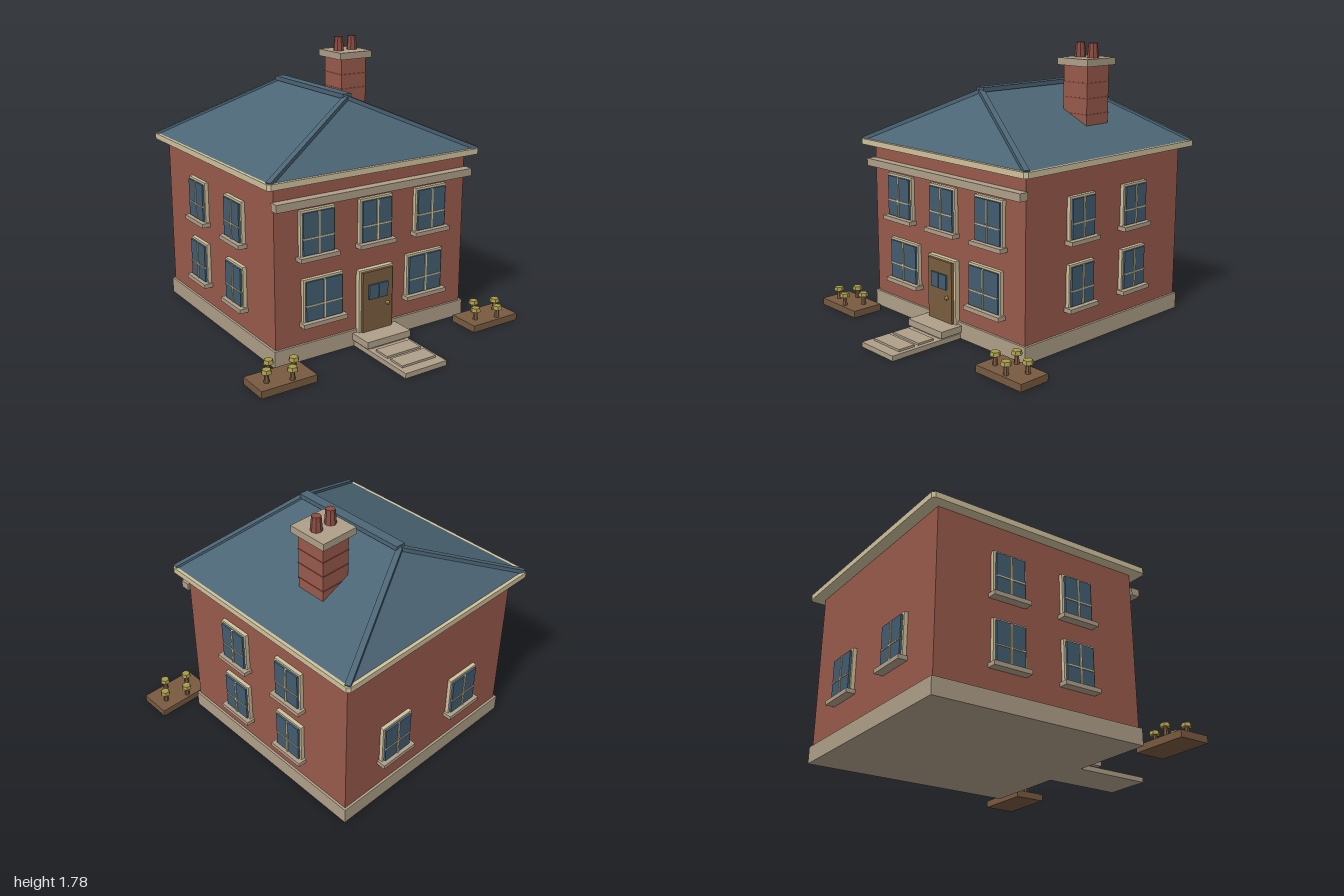
import * as THREE from 'three';

const mat = (name, color) => {
  const m = new THREE.MeshStandardMaterial({ color, flatShading: true });
  m.name = name;
  return m;
};

export function createModel() {
  const brick = mat('brick', 0x995a4c);
  const stone = mat('stone', 0xae9f88);
  const cream = mat('cream', 0xcfc19c);
  const slate = mat('slate', 0x4c6575);
  const glass = mat('glass', 0x425d70);
  const wood = mat('wood', 0x785c3e);
  const soil = mat('soil', 0x785a40);
  const brass = mat('brass', 0xa89a4c);
  const clay = mat('clay', 0x8c4c42);

  const house = new THREE.Group();
  house.name = 'house';

  const add = (parent, name, geometry, material, x = 0, y = 0, z = 0) => {
    const m = new THREE.Mesh(geometry, material);
    m.name = name;
    m.position.set(x, y, z);
    parent.add(m);
    return m;
  };
  // Box given by its limits on each axis
  const box = (parent, name, material, x0, x1, y0, y1, z0, z1) =>
    add(parent, name, new THREE.BoxGeometry(x1 - x0, y1 - y0, z1 - z0), material,
      (x0 + x1) / 2, (y0 + y1) / 2, (z0 + z1) / 2);

  // Walls, base and string course
  box(house, 'plinth', stone, -0.715, 0.715, 0, 0.105, -0.94, 0.48);
  box(house, 'walls', brick, -0.7, 0.7, 0.105, 1.11, -0.925, 0.465);
  box(house, 'stringCourse', stone, -0.715, 0.715, 0.967, 1.015, 0.465, 0.525);

  // Eaves slab with clipped corners
  const ex = 0.77, zf = 0.535, zb = -1, c = 0.018;
  const eave = new THREE.Shape([
    [-ex + c, -zf], [ex - c, -zf], [ex, -zf + c], [ex, -zb - c],
    [ex - c, -zb], [-ex + c, -zb], [-ex, -zb - c], [-ex, -zf + c],
  ].map(([x, y]) => new THREE.Vector2(x, y)));
  const eaveGeo = new THREE.ExtrudeGeometry(eave, { depth: 0.037, bevelEnabled: false });
  eaveGeo.rotateX(-Math.PI / 2);
  add(house, 'eaves', eaveGeo, cream, 0, 1.105, 0);

  // Hipped roof
  const A = [-0.755, 1.14, 0.515], B = [0.755, 1.14, 0.515];
  const C = [0.755, 1.14, -0.98], D = [-0.755, 1.14, -0.98];
  const E = [0, 1.49, 0.165], F = [0, 1.49, -0.63];
  const roofGeo = new THREE.BufferGeometry();
  roofGeo.setAttribute('position', new THREE.Float32BufferAttribute(
    [A, B, E, B, C, F, B, F, E, C, D, F, D, A, E, D, E, F].flat(), 3));
  roofGeo.computeVertexNormals();
  add(house, 'roof', roofGeo, slate);
  box(house, 'ridgeCap', slate, -0.032, 0.032, 1.483, 1.512, -0.635, 0.172);
  for (const [from, to] of [[A, E], [B, E], [C, F], [D, F]]) {
    const p = new THREE.Vector3(...from), q = new THREE.Vector3(...to);
    const hip = add(house, 'hipCap', new THREE.BoxGeometry(0.034, 0.024, p.distanceTo(q)), slate);
    hip.position.lerpVectors(p, q, 0.5);
    hip.lookAt(q);
  }

  // Chimney with projecting courses, cap and pots
  const chimney = new THREE.Group();
  chimney.name = 'chimney';
  chimney.position.set(0.368, 0, -0.39);
  house.add(chimney);
  box(chimney, 'stack', brick, -0.098, 0.098, 1.27, 1.64, -0.1, 0.1);
  for (const y of [1.34, 1.44, 1.535])
    box(chimney, 'course', clay, -0.101, 0.101, y - 0.004, y + 0.004, -0.103, 0.103);
  box(chimney, 'chimneyCap', stone, -0.125, 0.125, 1.64, 1.685, -0.131, 0.131);
  for (const x of [-0.053, 0.053])
    add(chimney, 'pot', new THREE.CylinderGeometry(0.028, 0.036, 0.092, 8), clay, x, 1.731, 0);

  // Windows: local z points out of the wall, y is the bottom of the frame
  const addWindow = (x, y, z, turn, w, h) => {
    const g = new THREE.Group();
    g.name = 'window';
    g.position.set(x, y, z);
    g.rotation.y = turn;
    house.add(g);
    const a = w / 2, i = 0.014;
    box(g, 'windowFrame', cream, -a, a, 0, h, 0, 0.024);
    box(g, 'pane', glass, -a + i, a - i, 0.008, h - i, 0.02, 0.037);
    box(g, 'mullion', cream, -0.006, 0.006, 0.008, h - i, 0.03, 0.043);
    box(g, 'glazingBar', cream, -a + i, a - i, h * 0.395 - 0.004, h * 0.395 + 0.004, 0.03, 0.042);
    box(g, 'sill', stone, -a - 0.015, a + 0.015, -0.025, 0.002, 0, 0.058);
  };
  for (const x of [-0.418, 0, 0.418]) addWindow(x, 0.66, 0.465, 0, 0.24, 0.28);
  for (const s of [-1, 1]) {
    addWindow(s * 0.381, 0.245, 0.465, 0, 0.28, 0.27);
    addWindow(s * 0.3, 0.308, -0.925, Math.PI, 0.24, 0.265);
    for (const z of [0.017, -0.463])
      for (const y of [0.258, 0.67]) addWindow(s * 0.7, y, z, s * Math.PI / 2, 0.22, 0.264);
  }

  // Front door
  const door = new THREE.Group();
  door.name = 'frontDoor';
  door.position.z = 0.465;
  house.add(door);
  box(door, 'doorFrame', cream, -0.128, 0.128, 0.085, 0.49, 0, 0.032);
  box(door, 'doorLeaf', wood, -0.111, 0.111, 0.088, 0.478, 0.03, 0.05);
  for (const s of [-1, 1])
    add(door, 'doorPane', new THREE.BoxGeometry(0.068, 0.094, 0.012), glass, s * 0.036, 0.347, 0.056);
  add(door, 'doorKnob', new THREE.SphereGeometry(0.013, 8, 6), brass, 0.072, 0.25, 0.057);

  // Step and path
  box(house, 'doorStep', stone, -0.162, 0.162, 0.042, 0.085, 0.465, 0.64);
  box(house, 'path', stone, -0.152, 0.152, 0, 0.032, 0.47, 1);
  box(house, 'stepBase', stone, -0.13, 0.13, 0.03, 0.045, 0.47, 0.63);
  for (const z of [0.73, 0.875])
    box(house, 'pavingSlab', stone, -0.125, 0.125, 0.03, 0.045, z - 0.057, z + 0.057);

  // Flower beds
  const plants = [[-0.035, 0.57], [0.105, 0.62], [-0.105, 0.67], [0.035, 0.72]];
  for (const s of [-1, 1]) {
    const bed = new THREE.Group();
    bed.name = 'flowerBed';
    bed.position.x = s * 0.775;
    house.add(bed);
    box(bed, 'bedSoil', soil, -0.183, 0.183, 0, 0.045, 0.54, 0.75);
    for (const [x, z] of plants) {
      add(bed, 'stem', new THREE.CylinderGeometry(0.012, 0.017, 0.065, 6), soil, x, 0.075, z);
      add(bed, 'flower', new THREE.CylinderGeometry(0.028, 0.034, 0.024, 6), brass, x, 0.114, z)
        .rotation.y = Math.PI / 6;
    }
  }
  return house;
}
